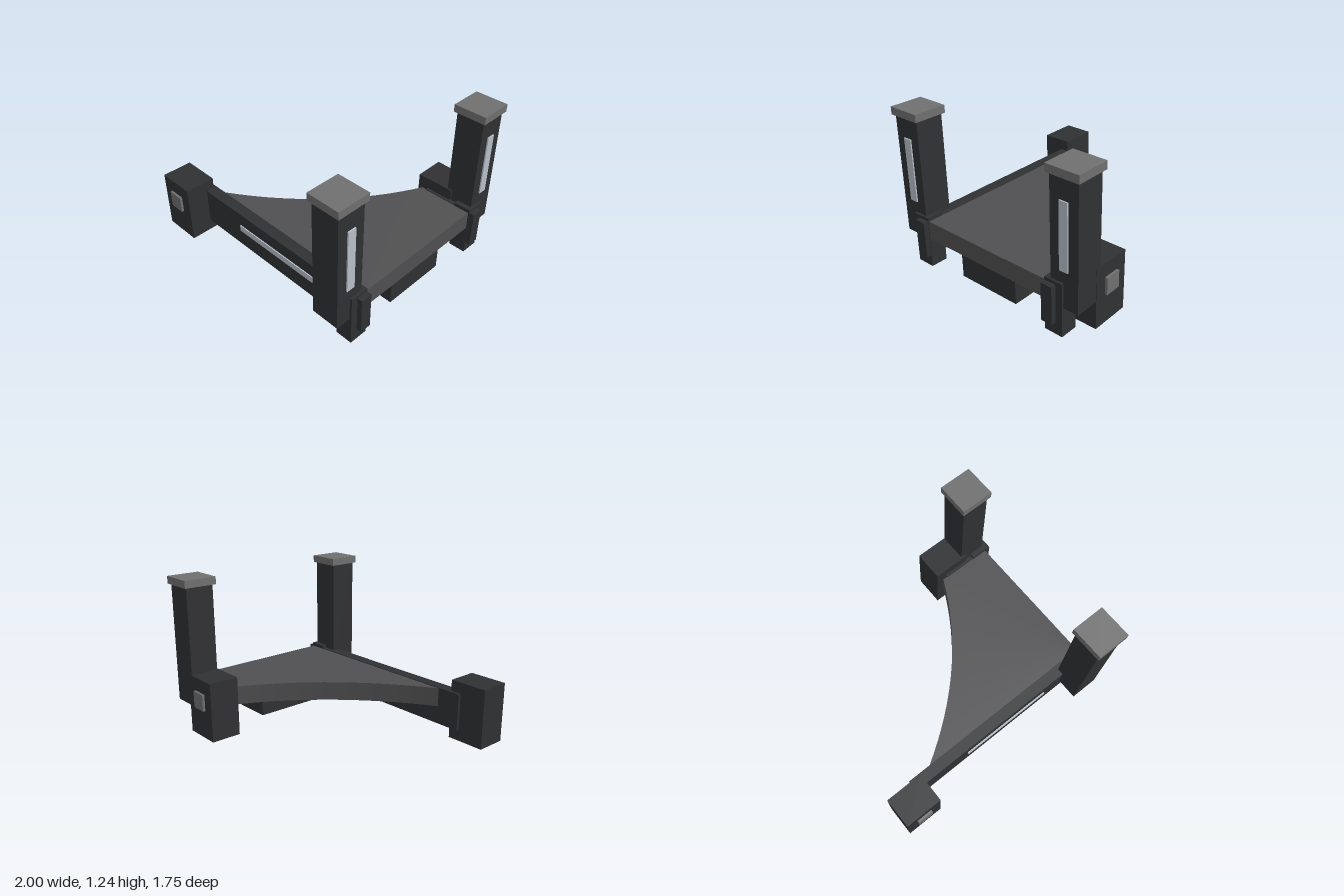
import * as THREE from 'three';

const mat = (color) => new THREE.MeshStandardMaterial({ color });
const dark = mat(0x303133);
const deckGrey = mat(0x505052);
const capGrey = mat(0x707070);
const lightBlue = mat(0xb8c0ca);

// Box given by its extents along each axis
function box(name, [x0, x1], [y0, y1], [z0, z1], material) {
  const mesh = new THREE.Mesh(new THREE.BoxGeometry(x1 - x0, y1 - y0, Math.abs(z1 - z0)), material);
  mesh.position.set((x0 + x1) / 2, (y0 + y1) / 2, (z0 + z1) / 2);
  mesh.name = name;
  return mesh;
}

// Flat deck with one concave edge; shape y is -z
function deck() {
  const shape = new THREE.Shape();
  shape.moveTo(-0.585, -0.585);
  shape.lineTo(0.95, -0.585);
  shape.lineTo(0.95, 0.59);
  shape.lineTo(0.495, 0.59);
  shape.quadraticCurveTo(0.155, -0.135, -0.585, -0.585);
  const geometry = new THREE.ExtrudeGeometry(shape, { depth: 0.15, bevelEnabled: false, curveSegments: 16 });
  geometry.rotateX(-Math.PI / 2);
  geometry.translate(0, 0.24, 0);
  const mesh = new THREE.Mesh(geometry, deckGrey);
  mesh.name = 'deck';
  return mesh;
}

export function createModel() {
  const model = new THREE.Group();
  model.name = 'platform';
  model.add(deck());
  model.add(box('underBox', [0.6, 0.92], [0.025, 0.235], [-0.27, 0.27], dark));

  // Mirrored front and back sides; the beams and end blocks differ in length
  const sides = [
    { s: 1, name: 'front', beamStart: -0.78, blockStart: -1 },
    { s: -1, name: 'back', beamStart: 0.535, blockStart: 0.445 },
  ];
  for (const { s, name, beamStart, blockStart: b } of sides) {
    const side = new THREE.Group();
    side.name = name + 'Side';
    const z = (a, c) => [s * a, s * c];
    side.add(
      box('beam', [beamStart, 1], [0.095, 0.395], z(0.583, 0.675), dark),
      box('cornerFoot', [0.82, 0.96], [0, 0.42], z(0.58, 0.73), dark),
      box('endBlock', [b, b + 0.312], [0.005, 0.485], z(0.607, 0.853), dark),
      box('endBlockPlate', [b + 0.09, b + 0.22], [0.24, 0.375], z(0.84, 0.873), capGrey),
      box('tower', [0.715, 0.942], [0.225, 1.18], z(0.62, 0.85), dark),
      box('towerCap', [0.695, 0.963], [1.18, 1.24], z(0.6, 0.87), capGrey),
      box('towerLight', [0.93, 0.952], [0.515, 1.02], z(0.7, 0.77), lightBlue),
    );
    model.add(side);
  }

  // Light strip along the long beam
  model.add(box('beamLight', [-0.27, 0.53], [0.24, 0.29], [0.66, 0.684], lightBlue));
  return model;
}
